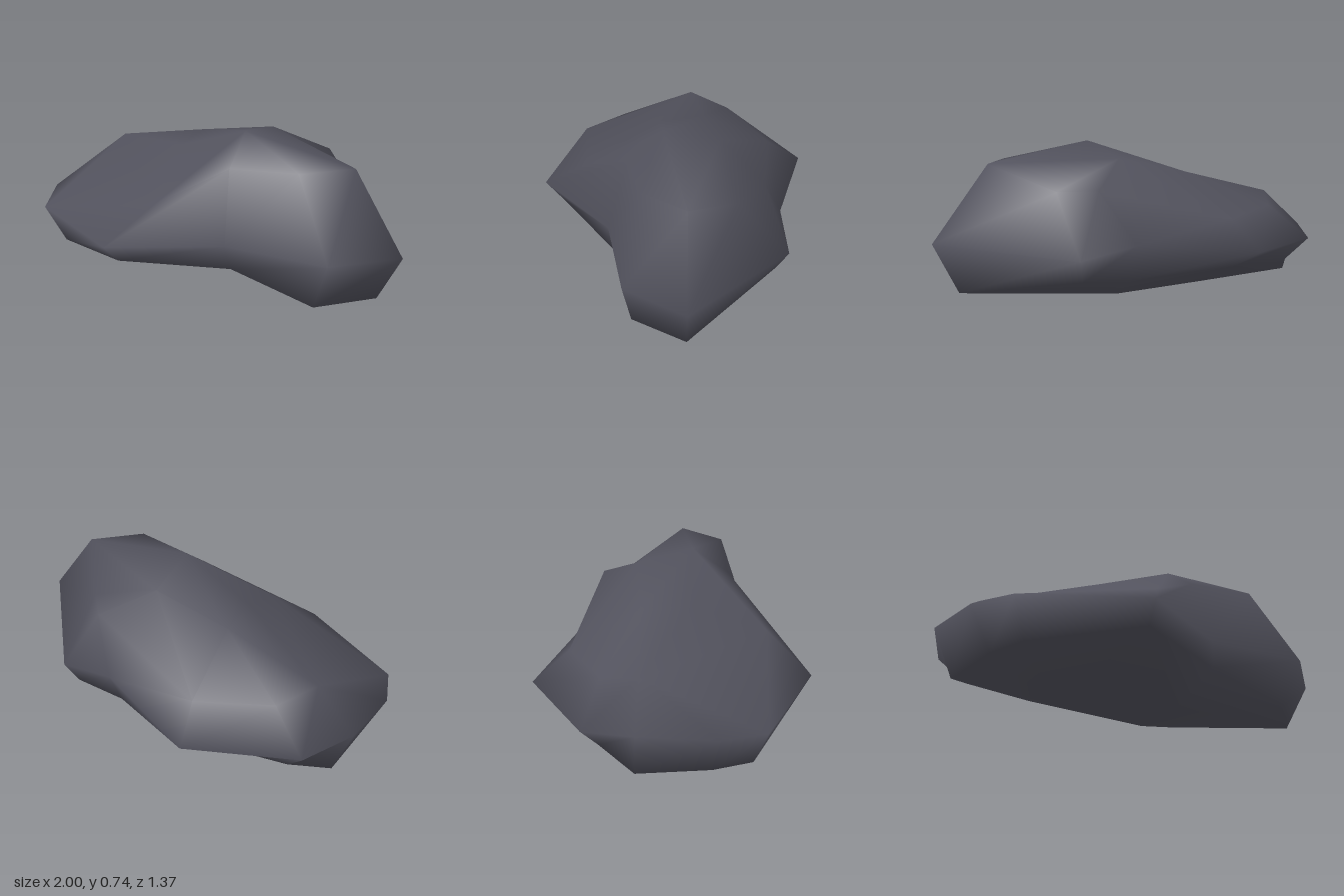
import * as THREE from 'three';
import { mergeVertices } from 'three/addons/utils/BufferGeometryUtils.js';

// Points closing the top and the underside
const topLeft = [-0.25, 0.58, -0.145], topFront = [-0.25, 0.58, 0.1];
const topPeak = [0.14, 0.74, 0.165], topBack = [0.16, 0.67, -0.12];
const lowLeft = [-0.3, 0.01, -0.2], lowBack = [0.2, 0, -0.14], lowFront = [0.2, 0.01, 0.15];
// Upper corner of the low left end
const shoulder = [-0.76, 0.45, -0.21];

// Loops from the underside upward, each running left, back, right, front
const loops = [
  [lowLeft, lowLeft, lowLeft, lowLeft, lowBack, lowBack, lowBack, lowFront, lowFront, lowFront, lowLeft],
  [[-0.88, 0.02, 0.11], [-0.87, 0.02, -0.25], [-0.7, 0.09, -0.4], [-0.27, 0.13, -0.48], [0.26, 0.1, -0.32],
    [0.53, 0.12, -0.3], [0.87, 0.03, 0.24], [0.63, 0.025, 0.45], [0.19, 0.125, 0.435], [-0.34, 0.13, 0.6], [-0.83, 0.02, 0.31]],
  [[-1, 0.23, 0.12], [-0.97, 0.26, -0.26], [-0.81, 0.22, -0.49], [-0.27, 0.23, -0.685], [0.28, 0.28, -0.4],
    [0.58, 0.23, -0.35], [1, 0.28, 0.27], [0.72, 0.28, 0.51], [0.17, 0.25, 0.46], [-0.37, 0.23, 0.685], [-0.92, 0.21, 0.36]],
  [shoulder, shoulder, [-0.62, 0.4, -0.38], [-0.24, 0.375, -0.5], [0.41, 0.54, -0.27],
    [0.53, 0.53, -0.1], [0.725, 0.655, 0.195], [0.51, 0.655, 0.375], [0.14, 0.605, 0.345], [-0.2, 0.41, 0.49], shoulder],
  [topLeft, topLeft, topLeft, topBack, topBack, topBack, topPeak, topPeak, topPeak, topFront, topFront],
];

// Joins the loops into one closed, smoothly shaded skin
function loft(rings) {
  const n = rings[0].length, index = [];
  for (let r = 0; r < rings.length - 1; r++) {
    for (let i = 0; i < n; i++) {
      const j = (i + 1) % n;
      const a = r * n + i, b = r * n + j, c = a + n, d = b + n;
      if (rings[r][i] !== rings[r][j]) index.push(a, c, b);
      if (rings[r + 1][i] !== rings[r + 1][j]) index.push(b, c, d);
    }
  }
  const top = (rings.length - 1) * n;
  index.push(0, 4, 7, top, top + 7, top + 4, top, top + 9, top + 7);
  const geometry = new THREE.BufferGeometry();
  geometry.setAttribute('position', new THREE.Float32BufferAttribute(rings.flat(2), 3));
  geometry.setIndex(index);
  const welded = mergeVertices(geometry);
  welded.computeVertexNormals();
  return welded;
}

export function createModel() {
  const group = new THREE.Group();
  group.name = 'rock';
  const stone = new THREE.MeshStandardMaterial({ color: 0x52525d });
  stone.name = 'dark grey stone';
  const boulder = new THREE.Mesh(loft(loops), stone);
  boulder.name = 'boulder';
  group.add(boulder);
  return group;
}
